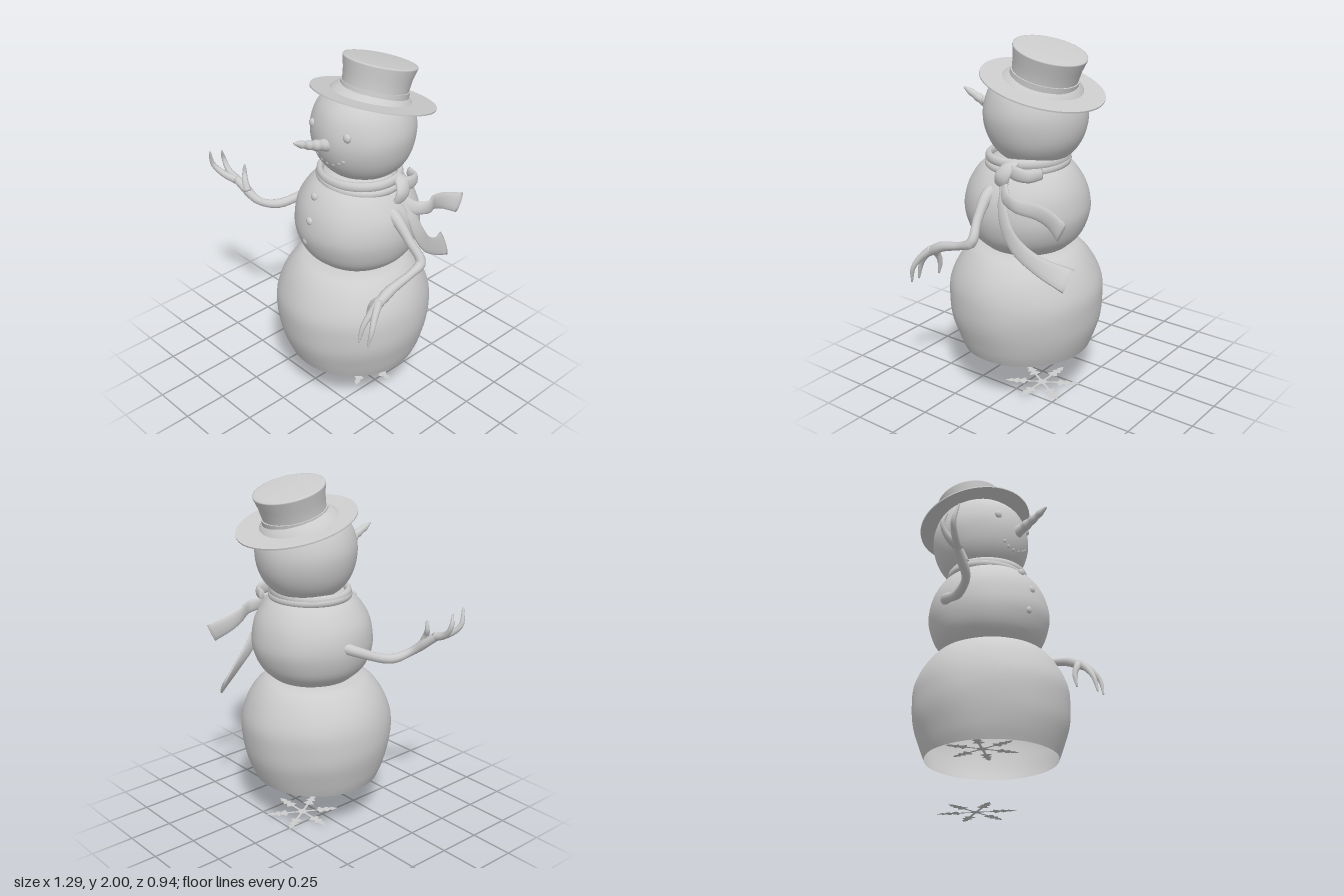
import * as THREE from 'three';
import { mergeVertices } from 'three/addons/utils/BufferGeometryUtils.js';

const grey = new THREE.MeshStandardMaterial({ color: 0xcccccc });
const greyBoth = new THREE.MeshStandardMaterial({ color: 0xcccccc, side: THREE.DoubleSide });
const V = (p) => new THREE.Vector3(p[0], p[1], p[2]);

function add(parent, name, geometry, material = grey) {
  const mesh = new THREE.Mesh(geometry, material);
  mesh.name = name;
  parent.add(mesh);
  return mesh;
}

// Lathe with a rounded profile of [radius, y] and slightly lumpy snow
function snowBall(profile, x, z) {
  const curve = new THREE.SplineCurve(profile.map((p) => new THREE.Vector2(...p)));
  const pts = curve.getPoints(36);
  pts.forEach((p) => { p.x = Math.max(p.x, 0); });
  let g = new THREE.LatheGeometry(pts, 56);
  g.deleteAttribute('uv');
  g.deleteAttribute('normal');
  g = mergeVertices(g, 1e-4);
  const pos = g.attributes.position;
  for (let i = 0; i < pos.count; i++) {
    const a = Math.atan2(pos.getZ(i), pos.getX(i)), y = pos.getY(i);
    const k = 1 + 0.006 * Math.sin(a * 5 + y * 11) * Math.cos(a * 3 - y * 17);
    pos.setXYZ(i, pos.getX(i) * k, y, pos.getZ(i) * k);
  }
  g.computeVertexNormals();
  return g.translate(x, 0, z);
}

// Closed loft through rings of equal size
function loft(rings) {
  const n = rings[0].length, pos = [], idx = [];
  rings.forEach((r) => r.forEach((p) => pos.push(p.x, p.y, p.z)));
  for (let i = 0; i < rings.length - 1; i++) {
    for (let j = 0; j < n; j++) {
      const a = i * n + j, b = i * n + (j + 1) % n;
      idx.push(a, b, a + n, b, b + n, a + n);
    }
  }
  [0, rings.length - 1].forEach((i) => {
    const c = pos.length / 3, m = new THREE.Vector3();
    rings[i].forEach((p) => m.addScaledVector(p, 1 / n));
    pos.push(m.x, m.y, m.z);
    for (let j = 0; j < n; j++) {
      const a = i * n + j, b = i * n + (j + 1) % n;
      if (i === 0) idx.push(c, b, a); else idx.push(c, a, b);
    }
  });
  const g = new THREE.BufferGeometry();
  g.setAttribute('position', new THREE.Float32BufferAttribute(pos, 3));
  g.setIndex(idx);
  g.computeVertexNormals();
  return g;
}

// Round limb along a spline; radii are spread evenly along it
function limb(points, radii, steps = 28, sides = 10) {
  const curve = new THREE.CatmullRomCurve3(points.map(V));
  const f = curve.computeFrenetFrames(steps);
  const rings = [];
  for (let i = 0; i <= steps; i++) {
    const t = i / steps, s = t * (radii.length - 1), k = Math.min(Math.floor(s), radii.length - 2);
    const r = THREE.MathUtils.lerp(radii[k], radii[k + 1], s - k), c = curve.getPointAt(t);
    rings.push(Array.from({ length: sides }, (_, j) => {
      const a = j / sides * Math.PI * 2;
      return c.clone().addScaledVector(f.normals[i], r * Math.cos(a)).addScaledVector(f.binormals[i], r * Math.sin(a));
    }));
  }
  return loft(rings);
}

// Flat cloth strip: centre points with half-width vectors
function ribbon(centres, halves, thick) {
  const path = new THREE.CatmullRomCurve3(centres.map(V));
  const width = new THREE.CatmullRomCurve3(halves.map(V));
  const rings = [];
  for (let i = 0; i <= 30; i++) {
    const t = i / 30, c = path.getPoint(t), w = width.getPoint(t);
    const n = path.getTangent(t).cross(w).normalize().multiplyScalar(thick);
    rings.push(Array.from({ length: 12 }, (_, j) => {
      const a = j / 12 * Math.PI * 2;
      return c.clone().addScaledVector(w, Math.cos(a)).addScaledVector(n, Math.sin(a));
    }));
  }
  return loft(rings);
}

// Six-armed flat snowflake with fir-shaped arms
function snowflake(turn) {
  const g = new THREE.Group();
  const half = [[0, 0.007], [0.09, 0.007], [0.1, 0.036], [0.132, 0.012], [0.142, 0.03], [0.17, 0.01], [0.176, 0.02], [0.215, 0]];
  const outline = [...half, ...half.slice(0, -1).reverse().map(([x, y]) => [x, -y])];
  const arm = new THREE.ShapeGeometry(new THREE.Shape(outline.map((p) => new THREE.Vector2(...p))));
  arm.rotateX(-Math.PI / 2);
  for (let i = 0; i < 6; i++) add(g, 'snowflakeArm', arm, greyBoth).rotation.y = turn + i * Math.PI / 3;
  add(g, 'snowflakeCentre', new THREE.CircleGeometry(0.03, 6).rotateX(-Math.PI / 2), greyBoth);
  return g;
}

export function createModel() {
  const model = new THREE.Group();
  model.name = 'snowman';

  // Snow body, open underneath
  add(model, 'lowerBody', snowBall([[0.362, 0.26], [0.39, 0.33], [0.422, 0.44], [0.433, 0.55], [0.425, 0.65], [0.385, 0.75],
    [0.325, 0.83], [0.26, 0.866], [0.13, 0.88], [0, 0.882]], 0.1, 0.04), greyBoth);
  add(model, 'middleBody', snowBall([[0, 0.855], [0.19, 0.86], [0.25, 0.89], [0.305, 0.95], [0.338, 1.04], [0.342, 1.12],
    [0.322, 1.21], [0.275, 1.29], [0.22, 1.34], [0.12, 1.39], [0, 1.4]], 0.11, 0.02));
  add(model, 'head', snowBall([[0, 1.345], [0.12, 1.355], [0.2, 1.4], [0.255, 1.48], [0.28, 1.58], [0.273, 1.67],
    [0.235, 1.76], [0.16, 1.83], [0.08, 1.855], [0, 1.86]], 0.1, -0.03));

  // Face pebbles and buttons, pushed onto the ball behind them
  const pebble = (name, x, y, r, c, radius) => {
    const d = radius * radius - (x - c[0]) ** 2 - (y - c[1]) ** 2;
    const m = add(model, name, new THREE.SphereGeometry(r, 12, 8));
    m.position.set(x, y, c[2] + Math.sqrt(Math.max(d, 0)));
    m.scale.z = 0.7;
  };
  const headC = [0.1, 1.6, -0.03], chestC = [0.11, 1.1, 0.02];
  [[-0.025, 1.66], [0.228, 1.66]].forEach(([x, y]) => pebble('eye', x, y, 0.025, headC, 0.278));
  [[0.02, 1.506], [0.053, 1.486], [0.095, 1.48], [0.138, 1.486], [0.178, 1.505], [0.205, 1.522]]
    .forEach(([x, y]) => pebble('mouthPebble', x, y, 0.013, headC, 0.276));
  [[0.07, 1.293], [0.09, 1.175], [0.058, 1.04]].forEach(([x, y]) => pebble('button', x, y, 0.023, chestC, 0.336));

  // Ridged carrot nose
  add(model, 'nose', limb([[0.11, 1.585, 0.21], [0.11, 1.605, 0.28], [0.108, 1.632, 0.36], [0.11, 1.675, 0.455]],
    [0.037, 0.036, 0.032, 0.028, 0.03, 0.024, 0.025, 0.019, 0.021, 0.014, 0.006], 40, 14));

  // Tilted hat
  const hat = new THREE.Group();
  hat.name = 'hat';
  hat.position.set(0.113, 1.767, -0.085);
  hat.rotation.x = -0.263;
  model.add(hat);
  add(hat, 'hatBrim', new THREE.CylinderGeometry(0.335, 0.335, 0.008, 56));
  add(hat, 'hatBand', new THREE.CylinderGeometry(0.183, 0.183, 0.055, 48).translate(0, 0.03, 0));
  add(hat, 'hatCrown', new THREE.LatheGeometry([[0.174, 0], [0.176, 0.06], [0.183, 0.12], [0.198, 0.182], [0.197, 0.189],
    [0.185, 0.192], [0.1, 0.196], [0, 0.197]].map((p) => new THREE.Vector2(...p)), 48));

  // Scarf: two overlapping wraps, a knot and two flying tails
  [[0.236, 1.372, 0.028, 0.03], [0.24, 1.345, 0.024, -0.04]].forEach(([r, y, h, tilt]) => {
    const wrap = add(model, 'scarfWrap', new THREE.TorusGeometry(r - 0.015, 0.02, 10, 56).rotateX(Math.PI / 2).scale(1, h / 0.02, 0.93));
    wrap.position.set(0.115, y, 0.01);
    wrap.rotation.z = tilt;
  });
  add(model, 'scarfKnot', ribbon([[0.31, 1.39, -0.06], [0.37, 1.37, -0.05], [0.395, 1.32, -0.03], [0.37, 1.26, -0.01], [0.34, 1.25, 0]],
    [[0, 0, 0.03], [0, 0, 0.045], [0, 0.01, 0.045], [0, 0.01, 0.04], [0, 0, 0.03]], 0.018));
  add(model, 'scarfLoop', ribbon([[0.33, 1.36, -0.02], [0.37, 1.35, -0.09], [0.35, 1.34, -0.17], [0.28, 1.34, -0.2]],
    [[0, 0.03, 0], [0, 0.04, 0], [0, 0.035, 0], [0, 0.03, 0]], 0.016));
  add(model, 'scarfUpperTail', ribbon(
    [[0.36, 1.31, -0.02], [0.43, 1.235, -0.08], [0.46, 1.215, -0.16], [0.415, 1.19, -0.26], [0.41, 1.165, -0.34], [0.44, 1.125, -0.44]],
    [[0, 0.02, -0.02], [0, 0.03, -0.02], [0, 0.04, 0], [0, 0.045, 0], [0, 0.048, -0.01], [0, 0.052, -0.025]], 0.013));
  add(model, 'scarfLowerTail', ribbon(
    [[0.37, 1.31, -0.03], [0.43, 1.2, -0.06], [0.455, 1.08, -0.1], [0.45, 0.98, -0.17], [0.42, 0.9, -0.28], [0.355, 0.825, -0.43]],
    [[0, 0.01, -0.03], [0, 0.01, -0.03], [0, 0.015, -0.035], [-0.01, 0.03, -0.03], [-0.02, 0.04, -0.02], [-0.04, 0.055, -0.01]], 0.012));

  // Branch arms with forked fingers
  const arm = (name, path, radii, fingers) => {
    const g = new THREE.Group();
    g.name = name;
    model.add(g);
    add(g, 'branch', limb(path, radii));
    fingers.forEach((f) => add(g, 'finger', limb(f, [0.024, 0.02, 0.016, 0.012, 0.005], 16, 8)));
  };
  arm('rightArm', [[-0.17, 1.13, -0.04], [-0.25, 1.1, 0.02], [-0.345, 1.04, 0.2], [-0.4, 1.075, 0.3], [-0.48, 1.145, 0.335], [-0.545, 1.195, 0.355]],
    [0.034, 0.03, 0.026, 0.027, 0.022, 0.028, 0.022], [
      [[-0.52, 1.18, 0.355], [-0.585, 1.205, 0.39], [-0.635, 1.26, 0.425], [-0.622, 1.35, 0.45]],
      [[-0.52, 1.18, 0.35], [-0.595, 1.21, 0.35], [-0.635, 1.27, 0.35], [-0.622, 1.33, 0.37]],
      [[-0.45, 1.13, 0.335], [-0.475, 1.185, 0.33], [-0.495, 1.22, 0.315], [-0.49, 1.275, 0.315]]]);
  arm('leftArm', [[0.36, 1.24, 0.04], [0.42, 1.22, 0.045], [0.52, 1.11, 0.035], [0.588, 1.01, 0.02], [0.59, 0.975, 0.09], [0.58, 0.93, 0.24], [0.575, 0.87, 0.34]],
    [0.036, 0.033, 0.026, 0.024, 0.028, 0.021, 0.025, 0.03, 0.022], [
      [[0.575, 0.9, 0.31], [0.605, 0.845, 0.37], [0.625, 0.78, 0.41], [0.618, 0.69, 0.43]],
      [[0.575, 0.9, 0.31], [0.57, 0.84, 0.37], [0.562, 0.78, 0.41], [0.557, 0.69, 0.435]],
      [[0.575, 0.9, 0.3], [0.535, 0.86, 0.315], [0.512, 0.81, 0.315], [0.507, 0.73, 0.33]]]);

  // Snowflakes below and inside the base
  const low = snowflake(0), high = snowflake(Math.PI / 6);
  low.name = 'groundSnowflake';
  low.position.set(0.1, 0, -0.07);
  high.name = 'innerSnowflake';
  high.position.set(0.1, 0.34, -0.025);
  model.add(low, high);
  return model;
}
